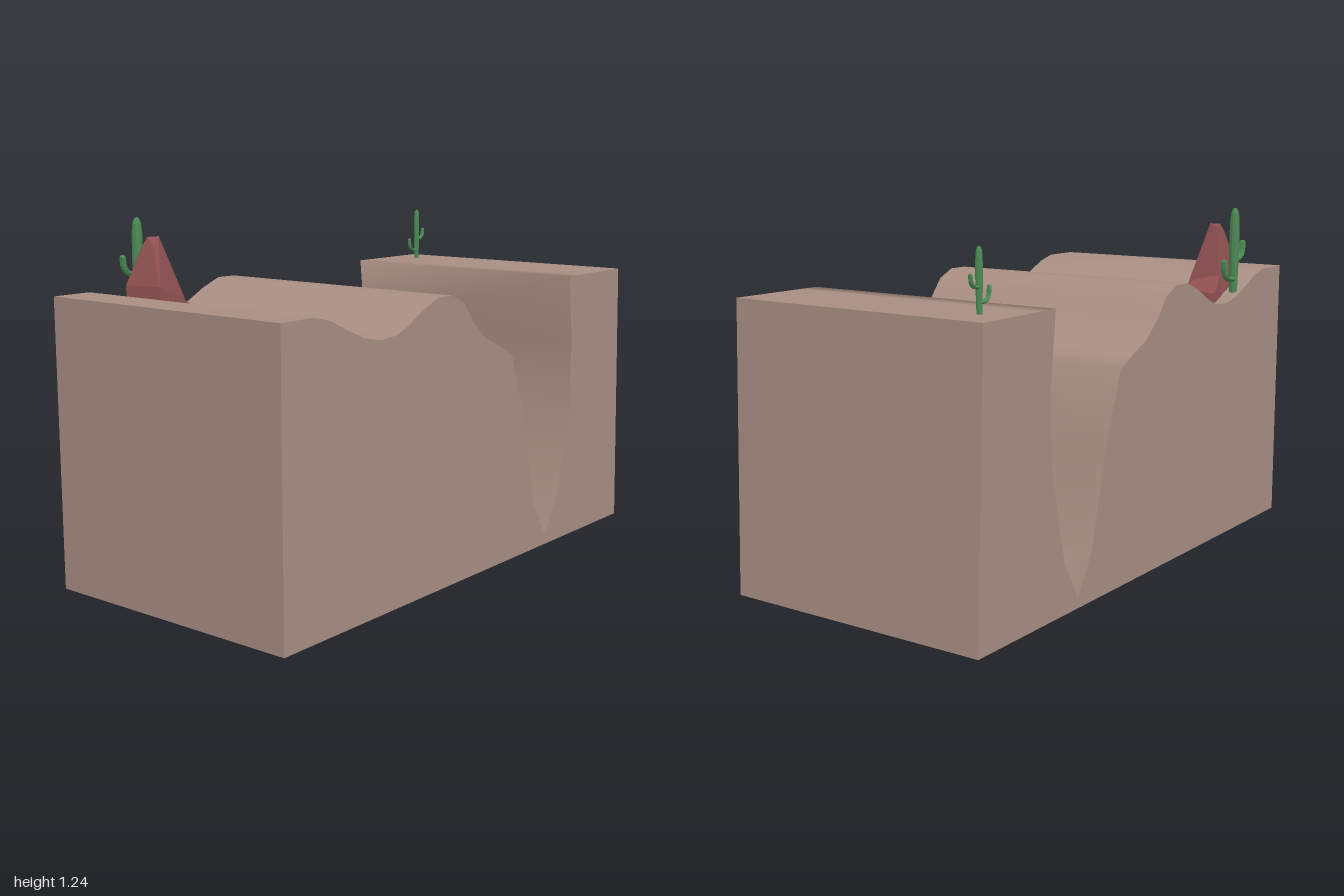
import * as THREE from 'three';
import { ConvexGeometry } from 'three/addons/geometries/ConvexGeometry.js';

const HALF = 0.5; // half the width of the land block

// Ground profile as [z, y], running from the front edge to the back edge
const PROFILE = [
  [1, 1], [0.92, 1], [0.85, 1], [0.78, 0.982], [0.7, 0.945], [0.62, 0.912], [0.54, 0.896],
  [0.46, 0.902], [0.4, 0.925], [0.32, 0.968], [0.24, 1], [0.16, 1], [0.09, 0.968],
  [0.035, 0.9], [-0.04, 0.835], [-0.13, 0.795], [-0.21, 0.755], [-0.3, 0.5], [-0.38, 0.17],
  [-0.46, 0.035], [-0.54, 0.17], [-0.615, 0.5], [-0.622, 0.75], [-0.595, 1],
  [-0.68, 1], [-0.965, 1],
];

const material = (color, flatShading = false) =>
  new THREE.MeshStandardMaterial({ color, flatShading, side: THREE.DoubleSide });

const ground = material(0xa88e83);
const stone = material(0x8f5052, true);
const green = material(0x4c8a54, true);

function addMesh(parent, name, geometry, mat) {
  const mesh = new THREE.Mesh(geometry, mat);
  mesh.name = name;
  parent.add(mesh);
  return mesh;
}

// Sweeps a [z, y] line across the full width, smooth along its length
function sheet(points) {
  const positions = [];
  const index = [];
  points.forEach(([z, y], i) => {
    positions.push(-HALF, y, z, HALF, y, z);
    const a = 2 * i;
    if (i < points.length - 1) index.push(a, a + 1, a + 3, a, a + 3, a + 2);
  });
  const geometry = new THREE.BufferGeometry();
  geometry.setAttribute('position', new THREE.Float32BufferAttribute(positions, 3));
  geometry.setIndex(index);
  geometry.computeVertexNormals();
  return geometry;
}

function makeLand() {
  const land = new THREE.Group();
  land.name = 'land';
  addMesh(land, 'groundSurface', sheet(PROFILE), ground);
  addMesh(land, 'frontWall', sheet([[1, 0], [1, 1]]), ground);
  addMesh(land, 'backWall', sheet([[-0.965, 1], [-1, 0]]), ground);
  addMesh(land, 'underside', sheet([[-1, 0], [1, 0]]), ground);

  // Cut faces on both sides follow the ground profile
  const outline = [[1, 0], ...PROFILE, [-1, 0]];
  for (const side of [1, -1]) {
    const shape = new THREE.Shape(outline.map(([z, y]) => new THREE.Vector2(-side * z, y)));
    const geometry = new THREE.ShapeGeometry(shape);
    geometry.rotateY(side * Math.PI / 2).translate(side * HALF, 0, 0);
    addMesh(land, side > 0 ? 'leftCut' : 'rightCut', geometry, ground);
  }
  return land;
}

function makeRock(name, corners) {
  const geometry = new ConvexGeometry(corners.map((c) => new THREE.Vector3(...c)));
  const mesh = new THREE.Mesh(geometry, stone);
  mesh.name = name;
  return mesh;
}

// Upturned arm: a tapered tube closed by a small rounded tip
function makeArm(name, reach, low, high) {
  const arm = new THREE.Group();
  arm.name = name;
  const curve = new THREE.CatmullRomCurve3([
    new THREE.Vector3(0, low, 0),
    new THREE.Vector3(0, low + 0.004, reach * 0.55),
    new THREE.Vector3(0, low + 0.016, reach * 0.82),
    new THREE.Vector3(0, high - 0.006, reach * 0.9),
  ]);
  addMesh(arm, 'armStem', new THREE.TubeGeometry(curve, 8, 0.0062, 6), green);
  const tip = addMesh(arm, 'armTip', new THREE.SphereGeometry(0.0062, 6, 4), green);
  tip.position.set(0, high - 0.006, reach * 0.9);
  arm.scale.x = 1.4;
  return arm;
}

function makeCactus(name) {
  const cactus = new THREE.Group();
  cactus.name = name;
  const profile = [
    [0.009, 0], [0.0105, 0.05], [0.012, 0.11], [0.0115, 0.17], [0.0095, 0.192], [0.005, 0.203], [0, 0.205],
  ].map(([r, y]) => new THREE.Vector2(r, y));
  addMesh(cactus, 'trunk', new THREE.LatheGeometry(profile, 10), green);
  cactus.add(makeArm('lowArm', 0.055, 0.036, 0.087));
  cactus.add(makeArm('highArm', -0.047, 0.082, 0.127));
  return cactus;
}

export function createModel() {
  const model = new THREE.Group();
  model.name = 'canyonLand';
  model.add(makeLand());

  // Tall leaning boulder with a lower one against its back
  model.add(makeRock('tallRock', [
    [-0.44, 0.88, 0.61], [-0.425, 0.9, 0.755], [-0.28, 0.9, 0.735], [-0.31, 0.88, 0.575],
    [-0.435, 1.02, 0.745], [-0.29, 1.02, 0.725], [-0.41, 1.15, 0.69], [-0.395, 1.18, 0.68],
    [-0.37, 1.182, 0.65], [-0.4, 1.17, 0.645], [-0.36, 1.15, 0.685], [-0.32, 0.97, 0.585],
  ]));
  model.add(makeRock('lowRock', [
    [-0.46, 0.87, 0.53], [-0.32, 0.87, 0.52], [-0.31, 0.87, 0.59], [-0.44, 0.87, 0.64],
    [-0.45, 0.93, 0.54], [-0.325, 0.935, 0.532], [-0.315, 0.955, 0.58], [-0.44, 0.96, 0.59],
    [-0.42, 1.0, 0.64], [-0.35, 1.0, 0.64],
  ]));

  const backCactus = makeCactus('backCactus');
  backCactus.position.set(-0.385, 0.998, -0.83);
  const frontCactus = makeCactus('frontCactus');
  frontCactus.position.set(-0.468, 0.915, 0.66);
  frontCactus.rotation.y = Math.PI;
  frontCactus.scale.setScalar(1.6);
  model.add(backCactus, frontCactus);
  return model;
}
